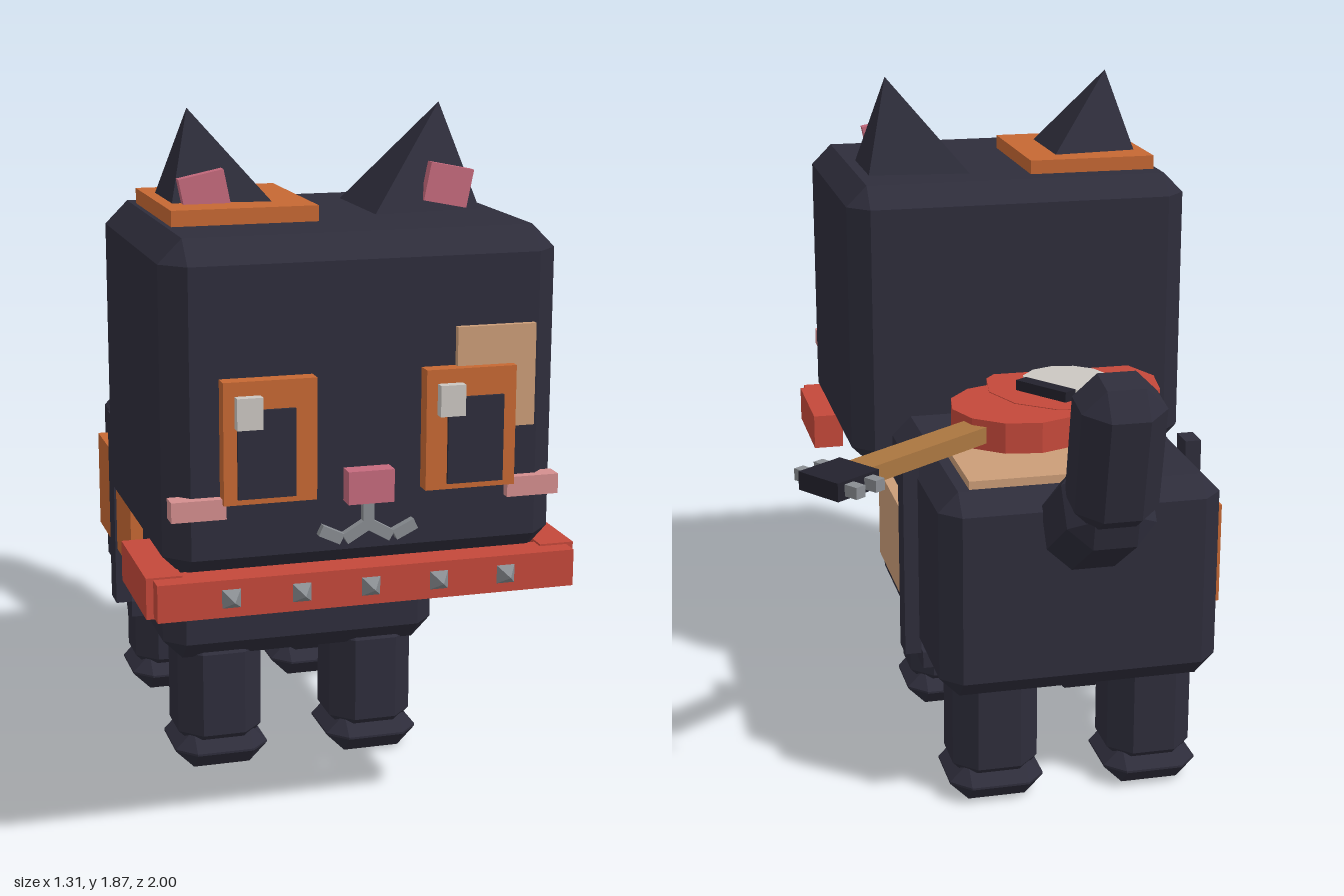
import * as THREE from 'three';
import { ConvexGeometry } from 'three/addons/geometries/ConvexGeometry.js';

const mat = (name, color) => {
  const m = new THREE.MeshStandardMaterial({ color });
  m.name = name;
  return m;
};

export function createModel() {
  const root = new THREE.Group();
  root.name = 'cat';
  const fur = mat('dark fur', 0x2e2d3b), black = mat('black', 0x23222d);
  const orange = mat('orange', 0xc66833), tan = mat('tan', 0xcb9d78);
  const red = mat('red', 0xc4483a), pink = mat('pink', 0xc56a7d);
  const blush = mat('pale pink', 0xd48e8e), white = mat('off white', 0xcbc7c1);
  const grey = mat('grey metal', 0x898d92), wood = mat('brown wood', 0xaa7640);
  const MID = -0.1; // symmetry plane of the cat

  const add = (name, geo, material, parent = root) => {
    const m = new THREE.Mesh(geo, material);
    m.name = name;
    parent.add(m);
    return m;
  };
  // box given by its limits on each axis
  const box = (name, material, x0, x1, y0, y1, z0, z1, parent = root) => {
    const m = add(name, new THREE.BoxGeometry(x1 - x0, y1 - y0, z1 - z0), material, parent);
    m.position.set((x0 + x1) / 2, (y0 + y1) / 2, (z0 + z1) / 2);
    return m;
  };
  // box with all edges cut by c
  const chamferBox = (name, material, w, h, d, c, x, y, z) => {
    const pts = [], a = w / 2, b = h / 2, e = d / 2;
    for (const i of [-1, 1]) for (const j of [-1, 1]) for (const k of [-1, 1]) {
      pts.push(new THREE.Vector3(i * a, j * (b - c), k * (e - c)),
        new THREE.Vector3(i * (a - c), j * b, k * (e - c)),
        new THREE.Vector3(i * (a - c), j * (b - c), k * e));
    }
    const m = add(name, new ConvexGeometry(pts), material);
    m.position.set(x, y, z);
    return m;
  };

  // head, body
  chamferBox('head', fur, 1.005, 0.841, 0.805, 0.06, MID, 1.1845, 0.5175);
  chamferBox('body', fur, 0.78, 0.588, 0.955, 0.055, MID, 0.632, -0.131);

  // legs with paws
  for (const x of [MID - 0.222, MID + 0.222]) for (const z of [0.193, -0.434]) {
    chamferBox('leg', fur, 0.24, 0.36, 0.24, 0.06, x, 0.225, z);
    chamferBox('paw', fur, 0.265, 0.11, 0.265, 0.052, x, 0.055, z);
  }

  // tail
  chamferBox('tailBase', fur, 0.236, 0.36, 0.236, 0.06, MID, 0.896, -0.718).rotation.x = -0.99;
  chamferBox('tailTip', fur, 0.22, 0.4, 0.215, 0.06, MID, 1.117, -0.87).rotation.x = -0.2;

  // ears, mirrored about the head's middle
  for (const s of [-1, 1]) {
    const p = (x, y, z) => new THREE.Vector3(MID + s * x, y, z);
    add('ear', new ConvexGeometry([p(0.113, 1.6, 0.285), p(0.113, 1.6, 0.61),
      p(0.412, 1.6, 0.32), p(0.412, 1.6, 0.572), p(0.337, 1.872, 0.45)]), fur);
    const inner = add('innerEar', new THREE.BoxGeometry(0.118, 0.1, 0.03), pink);
    inner.position.set(MID + s * 0.322, 1.67, 0.57);
    inner.rotation.z = -s * 0.2;
  }
  box('earPatch', orange, -0.53, -0.155, 1.59, 1.645, 0.235, 0.682);

  // face
  box('eyePatch', tan, 0.126, 0.33, 1.113, 1.37, 0.9, 0.937);
  for (const s of [-1, 1]) {
    const c = MID + s * 0.2545;
    box('eye', orange, c - 0.116, c + 0.116, 0.97, 1.273, 0.9, 0.962);
    const pc = MID + s * 0.265;
    box('pupil', fur, pc - 0.072, pc + 0.072, 0.985, 1.203, 0.962, 0.97);
    const h = MID - 0.056 + s * 0.2545;
    box('eyeHighlight', white, h - 0.032, h + 0.032, 1.16, 1.238, 0.962, 0.988);
    const k = MID + s * 0.428;
    box('cheek', blush, k - 0.068, k + 0.068, 0.932, 0.983, 0.895, 0.945);
  }
  box('nose', pink, -0.16, -0.043, 0.95, 1.033, 0.9, 0.967);

  // mouth strokes
  const stroke = (x0, y0, x1, y1) => {
    const m = add('mouth', new THREE.BoxGeometry(Math.hypot(x1 - x0, y1 - y0), 0.028, 0.03), grey);
    m.position.set((x0 + x1) / 2, (y0 + y1) / 2, 0.926);
    m.rotation.z = Math.atan2(y1 - y0, x1 - x0);
  };
  stroke(MID, 0.95, MID, 0.875);
  for (const s of [-1, 1]) {
    stroke(MID, 0.89, MID + s * 0.06, 0.855);
    stroke(MID + s * 0.068, 0.856, MID + s * 0.122, 0.882);
  }

  // collar with studs
  box('collarFront', red, -0.637, 0.437, 0.69, 0.785, 0.875, 0.963);
  for (const s of [-1, 1]) {
    const c = MID + s * 0.51;
    box('collarSide', red, c - 0.045, c + 0.045, 0.685, 0.79, 0.598, 0.915);
  }
  const studGeo = new THREE.ConeGeometry(0.036, 0.04, 4, 1).toNonIndexed();
  studGeo.rotateY(Math.PI / 4).rotateX(Math.PI / 2).computeVertexNormals();
  for (let i = -2; i <= 2; i++) {
    add('stud', studGeo, grey).position.set(MID + i * 0.177, 0.737, 0.98);
  }

  // coat patches
  box('backPatch', tan, -0.16, 0.203, 0.91, 0.949, -0.544, -0.125);
  box('backPatchFront', orange, -0.38, 0.0, 0.91, 0.947, -0.11, 0.14);
  box('leftSidePatch', tan, 0.28, 0.32, 0.475, 0.742, -0.153, 0.195);
  box('rightSidePatch', orange, -0.525, -0.48, 0.515, 0.8, -0.48, 0.03);

  // strap around the body
  for (const s of [-1, 1]) {
    const c = MID + s * 0.408;
    box('strapSide', fur, c - 0.023, c + 0.023, 0.298 + 0.047, 0.92, -0.272, -0.194);
  }
  box('strapBottom', fur, -0.485, 0.28, 0.297, 0.345, -0.272, -0.194);

  // guitar lying on the back, neck along its local x
  const guitar = new THREE.Group();
  guitar.name = 'guitar';
  guitar.position.set(-0.217, 0, -0.027);
  guitar.rotation.y = 0.62;
  root.add(guitar);
  const disc = (name, material, r, y0, y1, x, z) => {
    const g = new THREE.CylinderGeometry(r, r, y1 - y0, 12).toNonIndexed();
    g.computeVertexNormals();
    add(name, g, material, guitar).position.set(x, (y0 + y1) / 2, z);
  };
  disc('guitarLowerBout', red, 0.255, 0.948, 1.038, 0, 0);
  disc('guitarUpperBout', red, 0.197, 0.948, 1.036, 0.237, 0);
  disc('soundDisc', white, 0.127, 1.03, 1.052, 0.005, 0.02);
  box('bridge', black, 0.115, 0.158, 1.03, 1.068, -0.105, 0.08, guitar);
  box('neck', wood, 0.2, 0.9, 0.97, 1.017, -0.042, 0.042, guitar);
  box('headstock', black, 0.872, 1.02, 0.97, 1.02, -0.072, 0.072, guitar);
  for (const x of [0.91, 0.98]) for (const s of [-1, 1]) {
    const z = s * 0.09;
    box('tuningPeg', grey, x - 0.016, x + 0.016, 0.98, 1.012, z - 0.024, z + 0.024, guitar);
  }
  return root;
}
